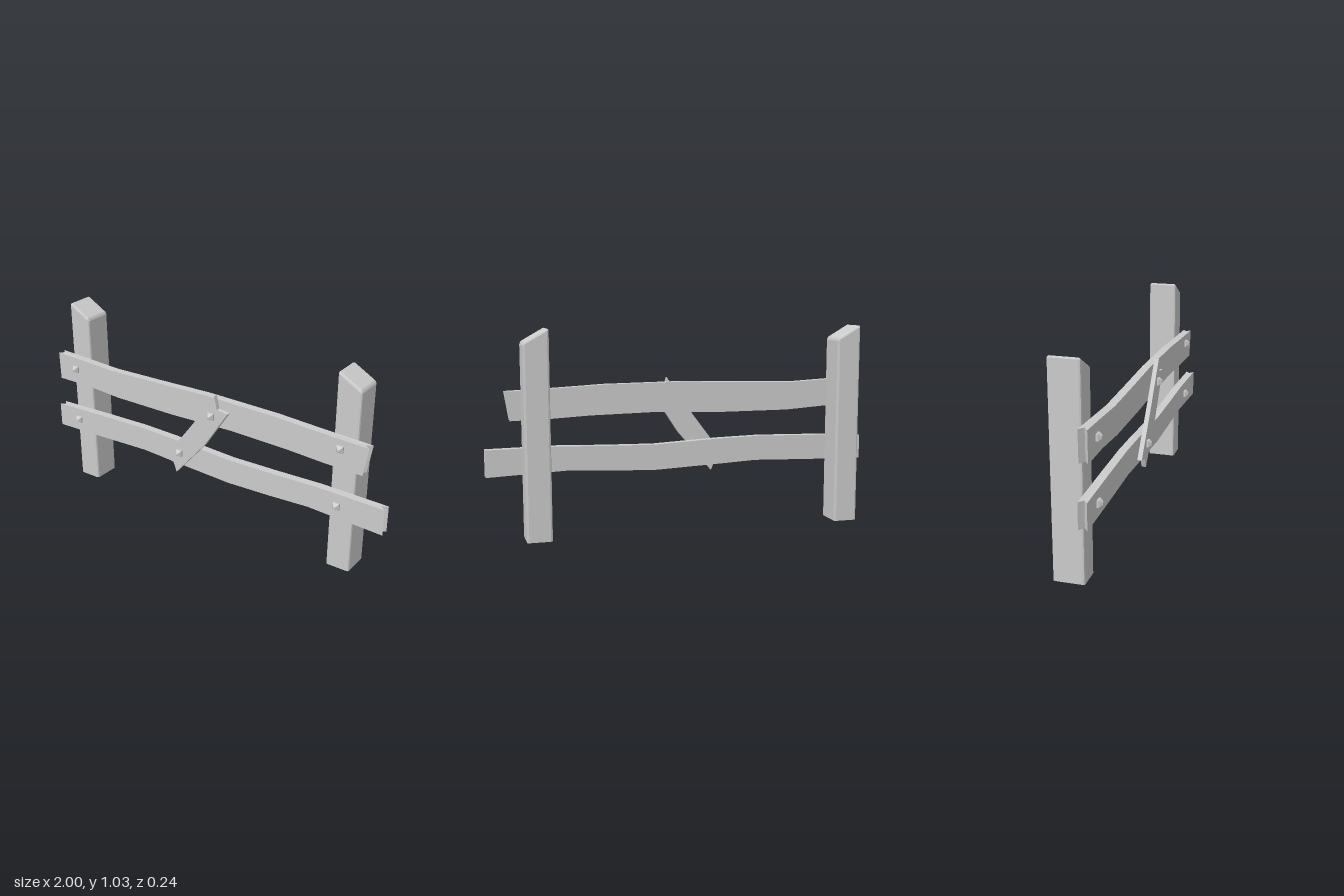
import * as THREE from 'three';

const wood = new THREE.MeshStandardMaterial({ color: 0xcccccc, flatShading: true });
const hollowWood = new THREE.MeshStandardMaterial({ color: 0xcccccc, flatShading: true, side: THREE.DoubleSide });

// Skins a list of rings (counter-clockwise seen from the far end), plus extra cap polygons.
function loft(rings, caps) {
  const pos = [];
  const face = (pts) => {
    for (let i = 1; i < pts.length - 1; i++) pos.push(...pts[0], ...pts[i], ...pts[i + 1]);
  };
  for (let k = 0; k < rings.length - 1; k++) {
    const a = rings[k], b = rings[k + 1];
    a.forEach((p, i) => {
      const j = (i + 1) % a.length;
      face([p, a[j], b[j], b[i]]);
    });
  }
  caps.forEach(face);
  const geo = new THREE.BufferGeometry();
  geo.setAttribute('position', new THREE.Float32BufferAttribute(pos, 3));
  geo.computeVertexNormals();
  return geo;
}

// Post: rounded rectangle section, slanted softened top, open underside
function postGeometry() {
  const hw = 0.0625, hd = 0.075, r = 0.01, steps = 2;
  const ring = (inset, height) => {
    const pts = [];
    for (let c = 0; c < 4; c++) {
      const sx = c === 0 || c === 1 ? 1 : -1, sz = c === 0 || c === 3 ? 1 : -1;
      for (let s = 0; s <= steps; s++) {
        const a = (c + s / steps) * Math.PI / 2;
        const x = sx * (hw - r) + Math.sin(a) * (r - inset);
        const z = sz * (hd - r) + Math.cos(a) * (r - inset);
        pts.push([x, height(x), z]);
      }
    }
    return pts;
  };
  const slope = (drop) => (x) => 0.998 - drop - 0.57 * x;
  const rings = [ring(0, () => 0), ring(0, slope(0.012)), ring(0.003, slope(0.005)), ring(0.009, slope(0))];
  return loft(rings, [rings[3]]);
}

// Rail: wavy plank from stations [xTop, yTop, xBottom, yBottom], V-grooved ends
function railGeometry(stations) {
  const zb = 0.034, zf = 0.076, zm = (zb + zf) / 2, notch = 0.028, last = stations.length - 1;
  const rings = stations.map(([xt, yt, xb, yb], k) => {
    const d = k === 0 ? notch : k === last ? -notch : 0;
    return [[xt + d, yt, zm], [xt, yt, zf], [xb, yb, zf], [xb + d, yb, zm], [xb, yb, zb], [xt, yt, zb]];
  });
  const end = (r) => [[r[0], r[1], r[2], r[3]], [r[3], r[4], r[5], r[0]]];
  return loft(rings, [...end(rings[last]), ...end(rings[0]).map((q) => q.reverse())]);
}

export function createModel() {
  const group = new THREE.Group();
  const add = (name, geo, x = 0, y = 0, z = 0, mat = wood) => {
    const mesh = new THREE.Mesh(geo, mat);
    mesh.name = name;
    mesh.position.set(x, y, z);
    group.add(mesh);
    return mesh;
  };

  // Posts
  const post = postGeometry();
  add('rightPost', post, -0.853, 0, -0.045, hollowWood);
  add('leftPost', post, 0.759, 0, -0.045, hollowWood);

  // Rails
  add('upperRail', railGeometry([
    [-0.98, 0.748, -0.976, 0.597], [-0.8, 0.74, -0.78, 0.598], [-0.6, 0.73, -0.57, 0.584],
    [-0.28, 0.738, -0.2, 0.584], [0, 0.747, 0.15, 0.596], [0.4, 0.743, 0.48, 0.59],
    [0.64, 0.731, 0.68, 0.58], [0.9, 0.721, 0.876, 0.576],
  ]));
  add('lowerRail', railGeometry([
    [-1, 0.433, -1, 0.305], [-0.7, 0.443, -0.7, 0.312], [-0.42, 0.45, -0.4, 0.322],
    [-0.2, 0.445, -0.2, 0.312], [0.15, 0.428, 0.14, 0.297], [0.4, 0.433, 0.38, 0.305],
    [0.65, 0.441, 0.6, 0.317], [1, 0.437, 1, 0.301],
  ]));

  // Diagonal brace with swallow-tail ends
  const outline = [
    [-0.245, 0.337], [-0.187, 0.325], [-0.168, 0.273], [0.012, 0.482], [0.15, 0.692],
    [0.088, 0.7], [0.072, 0.768], [-0.07, 0.567],
  ].map(([x, y]) => new THREE.Vector2(x, y));
  add('brace', new THREE.ExtrudeGeometry(new THREE.Shape(outline), { depth: 0.023, bevelEnabled: false }), 0, 0, 0.076);

  // Nails: square heads tapering to a small flat tip
  const head = new THREE.LatheGeometry(
    [[0.024, -0.004], [0.024, 0.008], [0.008, 0.024], [0, 0.024]].map(([r, h]) => new THREE.Vector2(r, h)), 4);
  head.rotateY(Math.PI / 4).rotateX(Math.PI / 2);
  for (const x of [-0.858, 0.757]) {
    add('upperRailNail', head, x, 0.678, 0.076);
    add('lowerRailNail', head, x, 0.376, 0.076);
  }
  add('braceNail', head, 0.053, 0.656, 0.099);
  add('braceNail', head, -0.145, 0.392, 0.099);

  return group;
}
